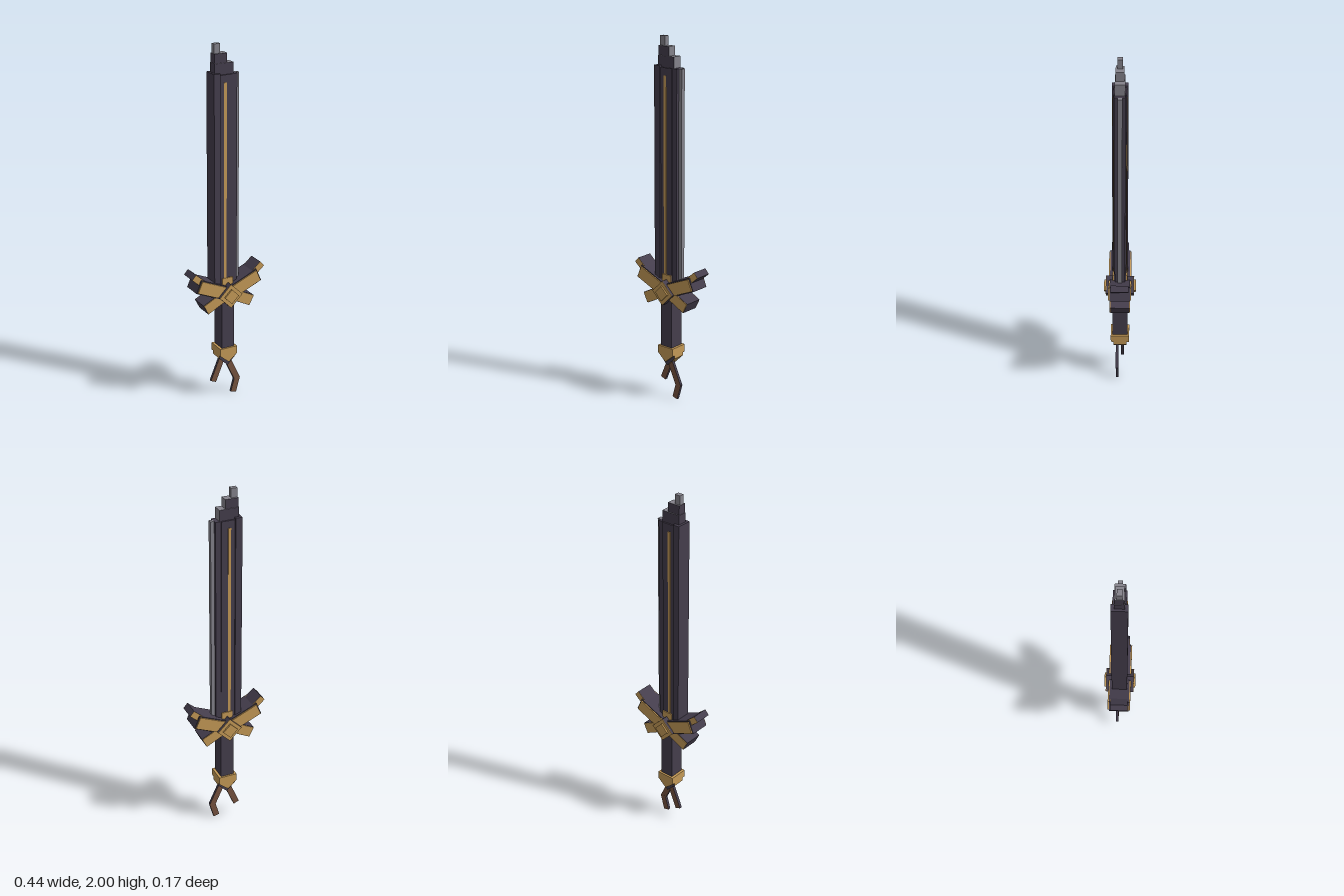
import * as THREE from 'three';

const mat = (name, color) => {
  const m = new THREE.MeshStandardMaterial({ color });
  m.name = name;
  return m;
};

export function createModel() {
  const dark = mat('dark metal', 0x453e4d);
  const gold = mat('gold', 0xc59a57);
  const steel = mat('steel', 0x85838c);
  const leather = mat('leather', 0x76533f);
  const model = new THREE.Group();
  model.name = 'sword';

  // Box from its x and y limits and half depth
  const box = (name, x0, x1, y0, y1, hz, material, parent = model) => {
    const mesh = new THREE.Mesh(new THREE.BoxGeometry(x1 - x0, y1 - y0, 2 * hz), material);
    mesh.position.set((x0 + x1) / 2, (y0 + y1) / 2, 0);
    mesh.name = name;
    parent.add(mesh);
    return mesh;
  };

  // Thin gold plates on the front and back of a part
  const plates = (name, x0, x1, y0, y1, z, t, parent) => {
    for (const s of [1, -1]) {
      box(name, x0, x1, y0, y1, t / 2, gold, parent).position.z = s * (z + t / 2);
    }
  };

  const group = (name, x, y, angle, parent = model) => {
    const g = new THREE.Group();
    g.name = name;
    g.position.set(x, y, 0);
    g.rotation.z = angle;
    parent.add(g);
    return g;
  };

  // Blade: thick spine, body, thinner bevel and steel cutting edge
  box('bladeSpine', -0.082, -0.045, 0.62, 1.85, 0.042, dark);
  box('bladeBody', -0.045, 0.03, 0.62, 1.84, 0.034, dark);
  box('bladeBevel', 0.03, 0.06, 0.62, 1.84, 0.028, dark);
  box('cuttingEdge', 0.06, 0.08, 0.66, 1.84, 0.012, steel);
  plates('bladeInlay', -0.022, -0.006, 0.7, 1.8, 0.034, 0.003, model);
  plates('bladeCollar', -0.033, 0.03, 0.66, 0.72, 0.034, 0.006, model);

  // Stepped blade point with steel edges
  const stepMaterials = [steel, dark, steel, dark, dark, dark];
  box('pointStep', -0.07, 0.038, 1.83, 1.9, 0.026, stepMaterials);
  box('pointStep', -0.068, 0.004, 1.89, 1.95, 0.022, stepMaterials);
  box('bladeTip', -0.066, -0.032, 1.94, 2.0, 0.013, steel);

  // Crossguard arms, mirrored by turning half a circle around y
  for (const side of [0, Math.PI]) {
    const half = group('guardSide', 0, 0, 0);
    half.rotation.y = side;

    const upper = group('upperArm', 0, 0.629, 0.405, half);
    box('armCore', 0, 0.2, -0.039, 0.039, 0.055, dark, upper);
    plates('armPlate', 0.02, 0.195, -0.034, 0.034, 0.055, 0.007, upper);

    const horn = group('horn', 0.209, 0.765, 0.72, half);
    box('hornCore', -0.07, 0, -0.018, 0.018, 0.047, dark, horn);
    plates('hornPlate', -0.07, 0, -0.018, 0.018, 0.047, 0.001, horn);

    const lower = group('lowerArm', 0, 0.634, -0.47, half);
    box('armCore', 0, 0.158, -0.031, 0.031, 0.051, dark, lower);
    plates('armPlate', 0.02, 0.157, -0.029, 0.029, 0.051, 0.004, lower);
  }

  // Diamond boss in the middle of the guard
  const boss = group('guardBoss', 0, 0.625, Math.PI / 4);
  box('bossCore', -0.049, 0.049, -0.049, 0.049, 0.075, dark, boss);
  plates('bossPlate', -0.049, 0.049, -0.049, 0.049, 0.075, 0.003, boss);
  plates('bossStud', -0.03, 0.03, -0.03, 0.03, 0.078, 0.009, boss);

  // Grip
  box('grip', -0.038, 0.038, 0.28, 0.62, 0.042, dark);

  // Pointed pommel with a dark chevron beneath
  const extrude = (name, points, hz, materials) => {
    const shape = new THREE.Shape(points.map(([x, y]) => new THREE.Vector2(x, y)));
    const geometry = new THREE.ExtrudeGeometry(shape, { depth: 2 * hz, bevelEnabled: false });
    geometry.translate(0, 0, -hz);
    const mesh = new THREE.Mesh(geometry, materials);
    mesh.name = name;
    model.add(mesh);
  };
  extrude('pommel', [[-0.052, 0.305], [-0.052, 0.262], [0, 0.218], [0.052, 0.262], [0.052, 0.305]], 0.052, gold);
  extrude('pommelChevron', [[-0.052, 0.262], [-0.052, 0.243], [0, 0.192], [0.052, 0.243], [0.052, 0.262], [0, 0.218]],
    0.036, [dark, gold]);

  // Leather straps hanging from the pommel, with dark edges
  const strapMaterials = [dark, dark, dark, dark, leather, leather];
  const strap = (name, x0, y0, x1, y1, z) => {
    const length = Math.hypot(x1 - x0, y1 - y0);
    const g = group(name, x0, y0, Math.atan2(y1 - y0, x1 - x0));
    g.position.z = z;
    box('strapPiece', 0, length, -0.017, 0.017, 0.008, strapMaterials, g);
  };
  strap('rightStrap', -0.012, 0.215, -0.066, 0.085, -0.014);
  strap('leftStrapUpper', 0.01, 0.215, 0.07, 0.085, 0.016);
  strap('leftStrapLower', 0.07, 0.095, 0.045, 0.006, 0.0155);

  return model;
}
